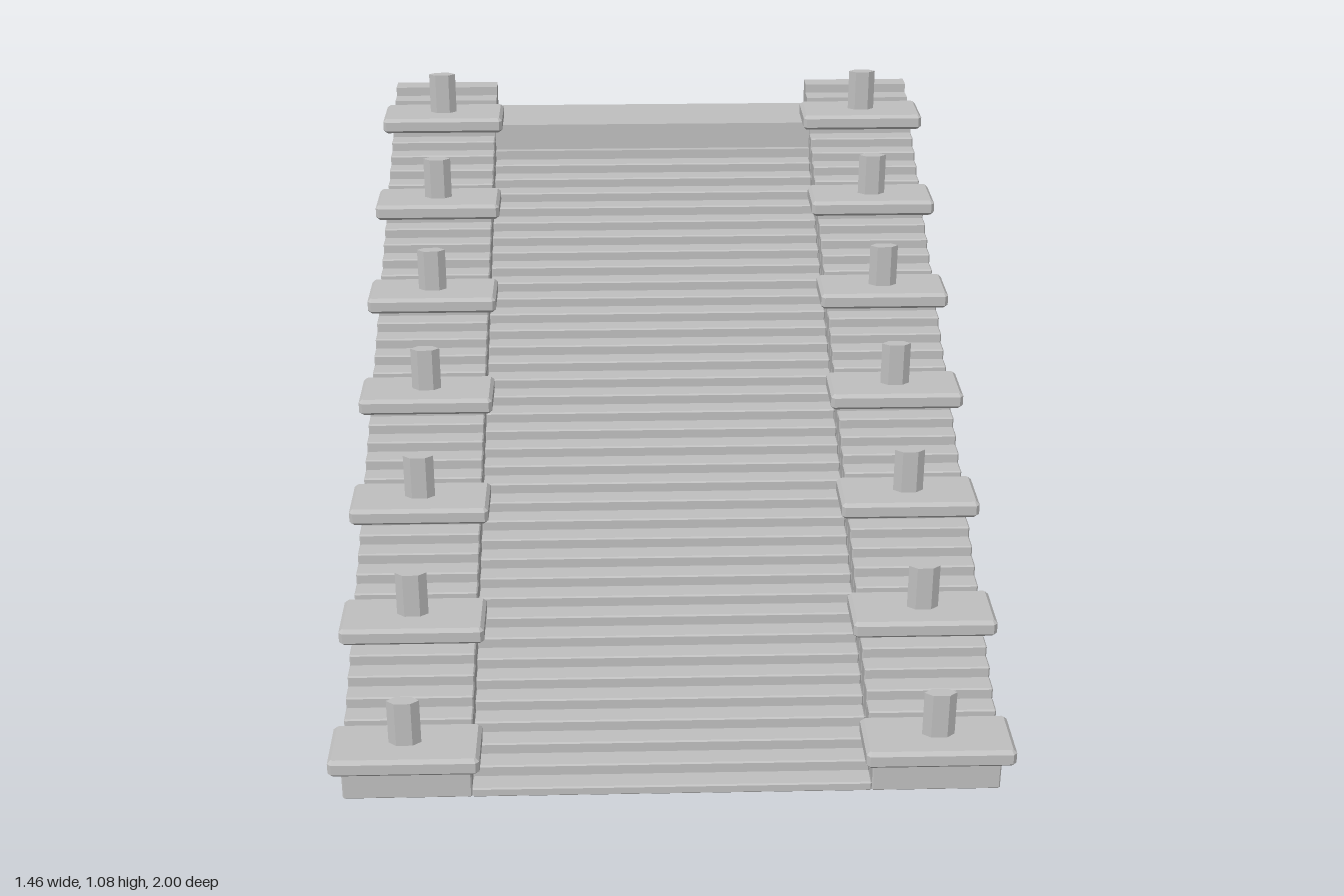
import * as THREE from 'three';

const stone = new THREE.MeshStandardMaterial({ color: 0xc0c0c0 });
stone.name = 'pale grey stone';

const STEPS = 40, FRONT = 0.95, DEPTH = 1.95 / STEPS, RISE = 0.91 / (STEPS - 1);
const SOLID_FROM = 36; // slabs behind this index merge into a plain rear block

// Box with narrow chamfers on every edge, centred on the origin
function chamferBox(w, h, d, c) {
  const x = w / 2, z = d / 2;
  const s = new THREE.Shape([
    [-x + c, -z], [x - c, -z], [x, -z + c], [x, z - c],
    [x - c, z], [-x + c, z], [-x, z - c], [-x, -z + c],
  ].map(([a, b]) => new THREE.Vector2(a, b)));
  const g = new THREE.ExtrudeGeometry(s, {
    depth: h - 2 * c, bevelEnabled: true, bevelSize: c, bevelOffset: -c,
    bevelThickness: c, bevelSegments: 1,
  });
  g.translate(0, 0, -h / 2 + c);
  g.rotateX(-Math.PI / 2);
  return g;
}

function add(group, name, geometry, x, y, z) {
  const m = new THREE.Mesh(geometry, stone);
  m.name = name;
  m.position.set(x, y, z);
  group.add(m);
}

// Upright slabs of rising height, side by side
function slabs(group, name, x, width, firstHeight, count) {
  for (let i = 0; i < count; i++) {
    const h = firstHeight + i * RISE;
    const g = i < SOLID_FROM
      ? chamferBox(width, h, DEPTH, 0.003)
      : new THREE.BoxGeometry(width, h, DEPTH);
    add(group, name, g, x, h / 2, FRONT - (i + 0.5) * DEPTH);
  }
}

export function createModel() {
  const model = new THREE.Group();
  model.name = 'steppedRamp';

  // Central stair with a raised landing at the back
  const stair = new THREE.Group();
  stair.name = 'centralStair';
  slabs(stair, 'stairSlab', 0, 0.86, 0.022, 38);
  add(stair, 'landing', new THREE.BoxGeometry(0.86, 0.932, 0.18), 0, 0.466, -0.91);
  model.add(stair);

  const capGeometry = chamferBox(0.32, 0.04, 0.143, 0.008);
  const pinGeometry = new THREE.CylinderGeometry(0.035, 0.035, 0.125, 6, 1, false, Math.PI / 2).toNonIndexed();
  pinGeometry.scale(1, 1, 0.45);
  pinGeometry.computeVertexNormals();

  // Mirrored stepped walls with caps and pins
  for (const side of [1, -1]) {
    const wall = new THREE.Group();
    wall.name = side > 0 ? 'leftWall' : 'rightWall';
    slabs(wall, 'wallSlab', side * 0.569, 0.278, 0.09, STEPS);
    for (let k = 0; k < 7; k++) {
      const y = 0.11 + k * 6 * RISE, z = 0.928 - k * 6 * DEPTH;
      add(wall, 'cap', capGeometry, side * 0.569, y, z);
      add(wall, 'pin', pinGeometry, side * 0.57, y + 0.0625, z);
    }
    model.add(wall);
  }
  return model;
}
